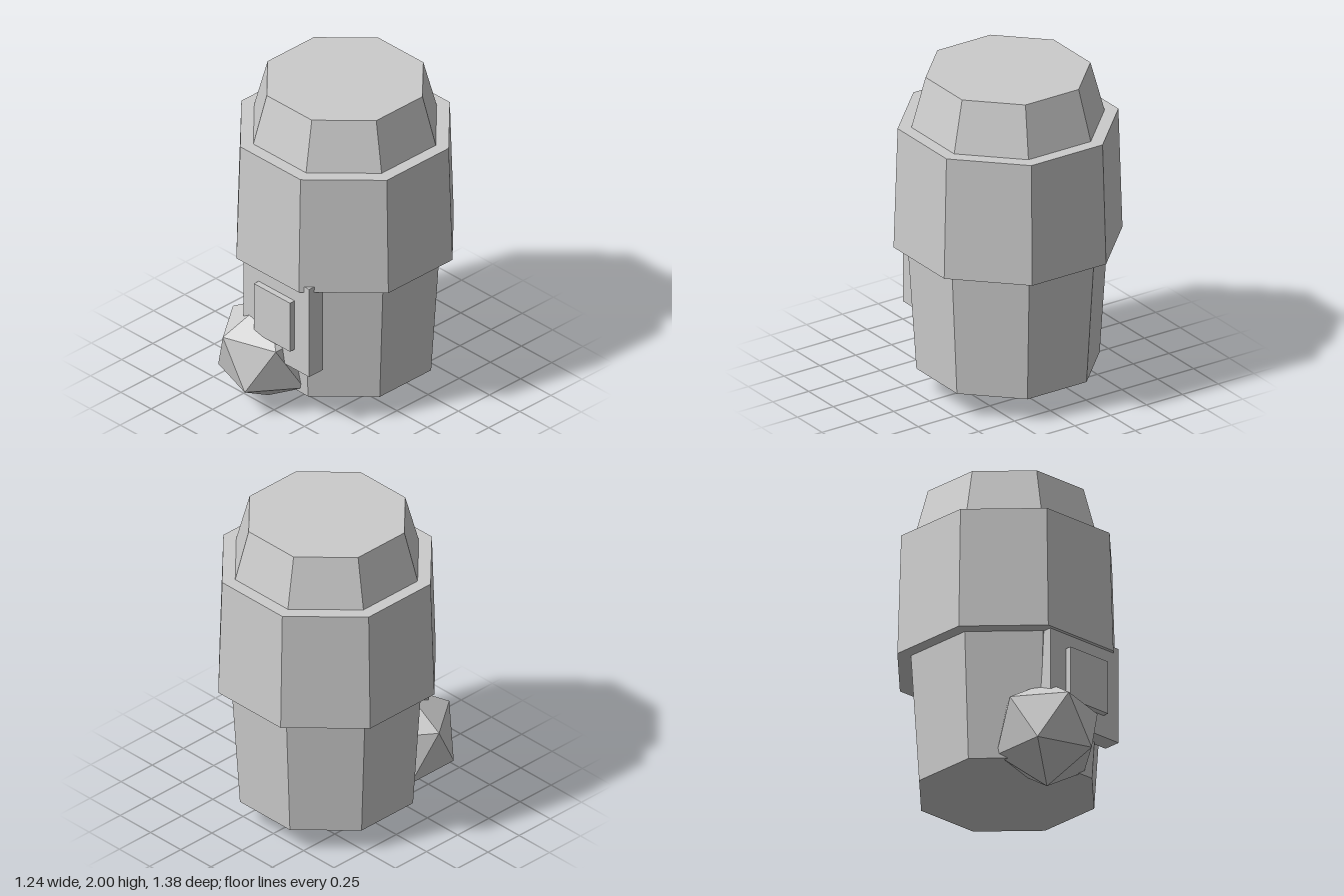
import * as THREE from 'three';
import { ConvexGeometry } from 'three/addons/geometries/ConvexGeometry.js';

export function createModel() {
  const model = new THREE.Group();
  const stone = new THREE.MeshStandardMaterial({ color: 0xcccccc, flatShading: true });
  stone.name = 'pale grey';

  const add = (name, geometry, x, y, z) => {
    const mesh = new THREE.Mesh(geometry, stone);
    mesh.name = name;
    mesh.position.set(x, y, z);
    model.add(mesh);
  };

  // Tapered octagonal tier with flat faces to the front and sides;
  // sizes are distances from the axis to a face
  const tier = (name, bottomHalf, topHalf, y0, y1) => {
    const k = 1 / Math.cos(Math.PI / 8);
    const g = new THREE.CylinderGeometry(topHalf * k, bottomHalf * k, y1 - y0, 8);
    g.rotateY(Math.PI / 8);
    add(name, g, 0, (y0 + y1) / 2, -0.07);
  };
  tier('lowerBody', 0.498, 0.545, 0.153, 0.937);
  tier('upperBody', 0.622, 0.6, 0.937, 1.69);
  tier('cap', 0.525, 0.448, 1.69, 2);

  // Door panel with a raised plate
  add('doorPanel', new THREE.BoxGeometry(0.54, 0.595, 0.11), 0.05, 0.678, 0.475);
  add('raisedPlate', new THREE.BoxGeometry(0.297, 0.33, 0.06), 0.052, 0.68, 0.538);

  // Faceted rock standing on one point: two staggered rings of five between two tips
  const r = 0.328;
  const points = [new THREE.Vector3(0, r, 0), new THREE.Vector3(0, -r, 0)];
  for (let i = 0; i < 10; i++) {
    const a = (i * Math.PI) / 5;
    const ring = (2 * r) / Math.sqrt(5);
    const y = (i % 2 ? 1 : -1) * r / Math.sqrt(5);
    points.push(new THREE.Vector3(ring * Math.cos(a), y, ring * Math.sin(a)));
  }
  add('rock', new ConvexGeometry(points), -0.136, r, 0.412);

  return model;
}
